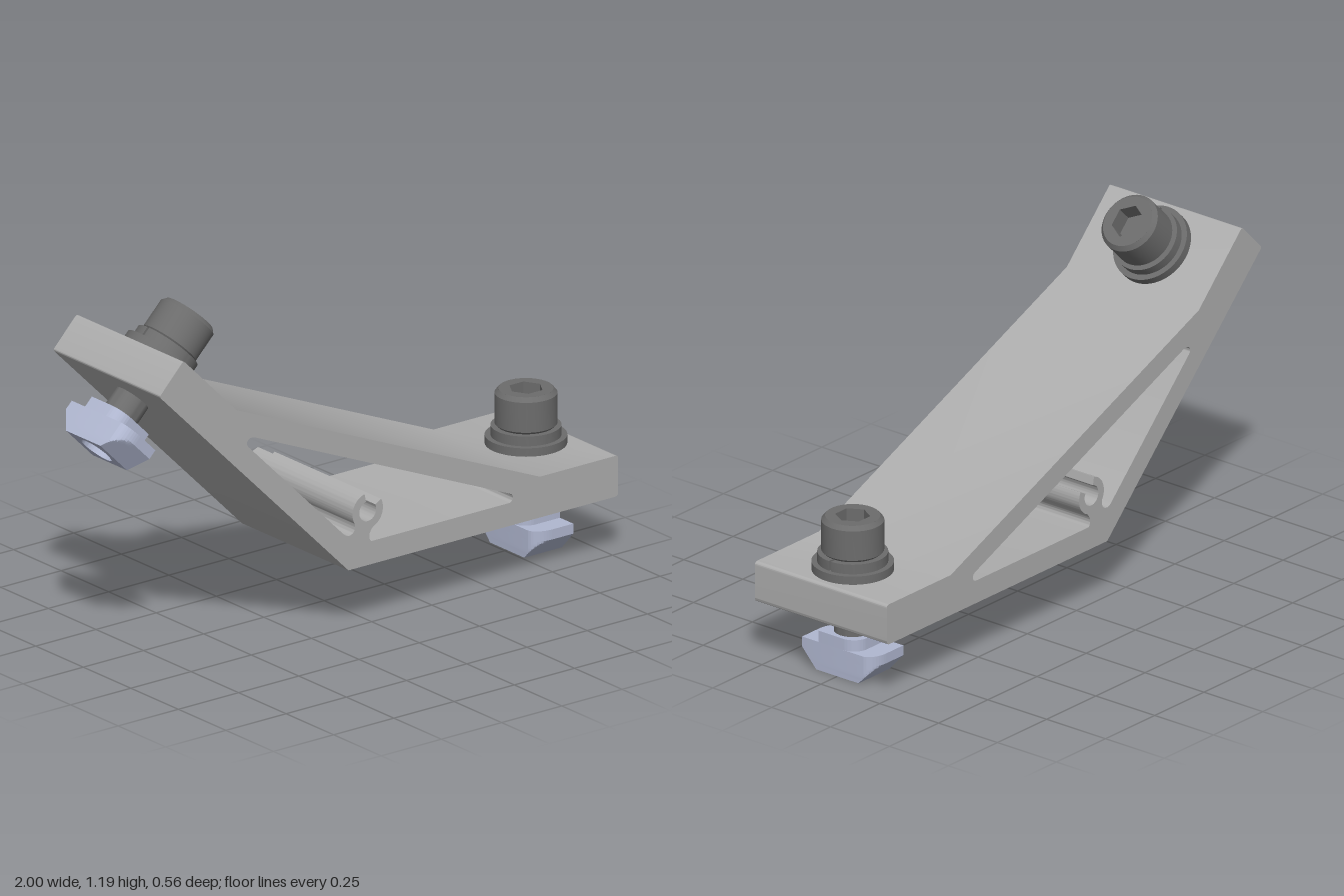
import * as THREE from 'three';
import { toCreasedNormals } from 'three/addons/utils/BufferGeometryUtils.js';

const rad = THREE.MathUtils.degToRad;
const aluminium = new THREE.MeshStandardMaterial({ name: 'aluminium grey', color: 0xadadad });
const steel = new THREE.MeshStandardMaterial({ name: 'dark steel', color: 0x6c6c6c });
const zinc = new THREE.MeshStandardMaterial({ name: 'bluish zinc', color: 0xb0b7d0 });

function part(name, geometry, material, parent) {
  const mesh = new THREE.Mesh(toCreasedNormals(geometry, 0.5), material);
  mesh.name = name;
  parent.add(mesh);
  return mesh;
}

// Extrude a plan shape upwards from y0 (shape y becomes -z)
function extrudeUp(shape, y0, height, steps = 1) {
  const g = new THREE.ExtrudeGeometry(shape, { depth: height, steps, bevelEnabled: false, curveSegments: 32 });
  return g.rotateX(-Math.PI / 2).translate(0, y0, 0);
}

function lathe(points) {
  return new THREE.LatheGeometry(points.map(([x, y]) => new THREE.Vector2(x, y)), 48);
}

// Angled bracket profile with a triangular window and a clip inside it
function bracketGeometry() {
  const s = new THREE.Shape();
  s.moveTo(-0.12, 0.215);
  s.lineTo(0.985, 0.215);
  s.quadraticCurveTo(1, 0.215, 1, 0.23);
  s.lineTo(1, 0.345);
  s.quadraticCurveTo(1, 0.357, 0.988, 0.357);
  s.lineTo(0.675, 0.357);
  s.lineTo(-0.585, 0.88);
  s.lineTo(-0.797, 1.094);
  s.quadraticCurveTo(-0.805, 1.102, -0.813, 1.094);
  s.lineTo(-0.898, 1.006);
  s.quadraticCurveTo(-0.905, 0.999, -0.898, 0.992);
  s.closePath();

  const w = new THREE.Path(), cx = -0.04, cy = 0.403, outer = 0.063, inner = 0.035;
  w.moveTo(0.545, 0.295);
  w.lineTo(-0.025, 0.295);
  w.quadraticCurveTo(-0.045, 0.315, -0.019, 0.343);
  w.absarc(cx, cy, outer, rad(-70), rad(28), false);
  w.absarc(cx, cy, inner, rad(28), rad(-258), true);
  w.absarc(cx, cy, outer, rad(102), rad(212), false);
  w.quadraticCurveTo(-0.09, 0.338, -0.115, 0.335);
  w.quadraticCurveTo(-0.128, 0.333, -0.14, 0.345);
  w.lineTo(-0.535, 0.74);
  w.quadraticCurveTo(-0.548, 0.755, -0.535, 0.765);
  w.quadraticCurveTo(-0.527, 0.774, -0.505, 0.766);
  w.lineTo(0.55, 0.327);
  w.quadraticCurveTo(0.565, 0.32, 0.562, 0.308);
  w.quadraticCurveTo(0.56, 0.295, 0.545, 0.295);
  s.holes.push(w);
  return new THREE.ExtrudeGeometry(s, { depth: 0.56, bevelEnabled: false, curveSegments: 20 }).translate(0, 0, -0.28);
}

// Rectangle with two opposite rounded corners and a central bore
function nutPlan(hx, hz, rx, rz) {
  const s = new THREE.Shape();
  s.moveTo(-hx + rx, -hz);
  s.lineTo(hx, -hz);
  s.lineTo(hx, hz - rz);
  s.absellipse(hx - rx, hz - rz, rx, rz, 0, Math.PI / 2, false, 0);
  s.lineTo(-hx, hz);
  s.lineTo(-hx, -hz + rz);
  s.absellipse(-hx + rx, -hz + rz, rx, rz, Math.PI, Math.PI * 1.5, false, 0);
  const bore = new THREE.Path();
  bore.absarc(0, 0, 0.06, 0, Math.PI * 2, true);
  s.holes.push(bore);
  return s;
}

// Hammer nut: tapered foot, straight wings and a narrower neck
function hammerNut() {
  const nut = new THREE.Group();
  nut.name = 'hammerNut';
  const plan = nutPlan(0.078, 0.15, 0.07, 0.045);
  const foot = extrudeUp(plan, 0, 0.065, 8);
  const p = foot.attributes.position;
  for (let i = 0; i < p.count; i++) {
    const limit = 0.09 + 0.06 * p.getY(i) / 0.065;
    p.setZ(i, THREE.MathUtils.clamp(p.getZ(i), -limit, limit));
  }
  part('nutFoot', foot, zinc, nut);
  part('nutWings', extrudeUp(plan, 0.065, 0.035), zinc, nut);
  part('nutNeck', extrudeUp(nutPlan(0.078, 0.08, 0.055, 0.055), 0.1, 0.04), zinc, nut);
  return nut;
}

// Socket-head bolt with washers and nut; y = 0 is the underside of the nut
function boltAssembly(name) {
  const bolt = new THREE.Group();
  bolt.name = name;
  part('shaft', new THREE.CylinderGeometry(0.062, 0.062, 0.36, 40).translate(0, 0.25, 0), steel, bolt);
  part('flatWasher', new THREE.CylinderGeometry(0.135, 0.135, 0.03, 56).translate(0, 0.371, 0), steel, bolt);

  // Split lock washer
  const ring = new THREE.Shape();
  ring.absarc(0, 0, 0.116, 0.04, Math.PI * 2 - 0.04, false);
  ring.absarc(0, 0, 0.065, Math.PI * 2 - 0.06, 0.06, true);
  part('lockWasher', extrudeUp(ring, 0.386, 0.034), steel, bolt);

  // Chamfered head with a hexagonal socket
  part('head', lathe([[0, 0.42], [0.095, 0.42], [0.103, 0.428], [0.103, 0.532], [0.09, 0.547],
    [0.09, 0.485], [0, 0.485]]), steel, bolt);
  const top = new THREE.Shape();
  top.absarc(0, 0, 0.09, 0, Math.PI * 2, false);
  const hex = new THREE.Path();
  hex.setFromPoints([0, 1, 2, 3, 4, 5, 6].map(i =>
    new THREE.Vector2(0.058 * Math.cos(i * Math.PI / 3), 0.058 * Math.sin(i * Math.PI / 3))));
  top.holes.push(hex);
  part('hexSocket', extrudeUp(top, 0.485, 0.062), steel, bolt);

  bolt.add(hammerNut());
  return bolt;
}

export function createModel() {
  const model = new THREE.Group();
  model.name = 'angleBracket';
  part('bracket', bracketGeometry(), aluminium, model);

  const lower = boltAssembly('lowerBolt');
  lower.position.set(0.838, 0, 0);
  model.add(lower);

  const upper = boltAssembly('upperBolt');
  upper.position.set(-0.945, 0.741, 0);
  upper.rotation.set(0, Math.PI, -Math.PI / 4, 'ZYX');
  model.add(upper);
  return model;
}
